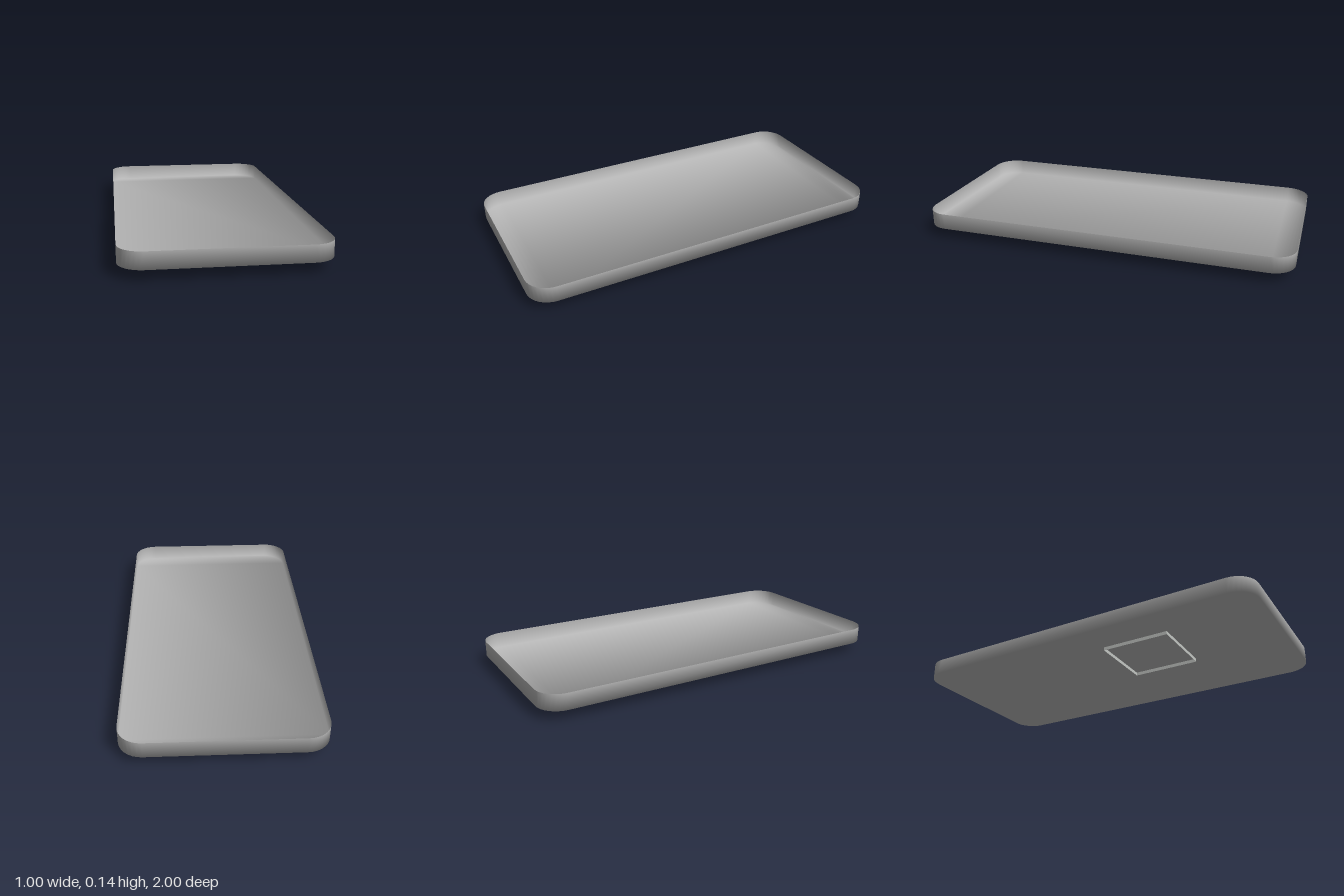
import * as THREE from 'three';

const trayGrey = new THREE.MeshStandardMaterial({ color: 0xb4b4b4, side: THREE.DoubleSide });
trayGrey.name = 'tray grey';
const frameGrey = new THREE.MeshStandardMaterial({ color: 0xc4c8c4, side: THREE.DoubleSide });
frameGrey.name = 'frame light grey';

// Thin open tray with rounded corners; normals are blended from floor to wall
function trayGeometry(halfW, halfL, radius, bottom, top, steps) {
  const half = []; // one side of the outline, back to front: x, z, outward direction
  for (const end of [-1, 1]) {
    for (let i = 0; i <= steps; i++) {
      const a = (Math.PI / 2) * (end < 0 ? 1 - i / steps : i / steps);
      const nx = Math.cos(a), nz = end * Math.sin(a);
      half.push([halfW - radius + radius * nx, end * (halfL - radius) + radius * nz, nx, nz]);
    }
  }
  const pos = [], nor = [], index = [];
  // Four vertices per row: bottom left, bottom right, top left, top right
  for (const [x, z, nx, nz] of half) {
    for (const y of [bottom, top]) {
      for (const s of [-1, 1]) {
        const n = new THREE.Vector3(s * nx, y === bottom ? -1 : 0, nz).normalize();
        pos.push(s * x, y, z);
        nor.push(n.x, n.y, n.z);
      }
    }
  }
  const quad = (a, b, c, d) => index.push(a, b, c, a, c, d);
  for (let i = 0; i < half.length - 1; i++) {
    const p = i * 4, q = p + 4;
    quad(p, p + 1, q + 1, q);         // floor
    quad(p + 1, p + 3, q + 3, q + 1); // right wall
    quad(p, q, q + 2, p + 2);         // left wall
  }
  const e = (half.length - 1) * 4;
  quad(e, e + 1, e + 3, e + 2); // front wall
  quad(1, 0, 2, 3);             // back wall
  const g = new THREE.BufferGeometry();
  g.setAttribute('position', new THREE.Float32BufferAttribute(pos, 3));
  g.setAttribute('normal', new THREE.Float32BufferAttribute(nor, 3));
  g.setIndex(index);
  return g;
}

export function createModel() {
  const model = new THREE.Group();
  model.name = 'tray with frame';

  const tray = new THREE.Mesh(trayGeometry(0.5, 1, 0.12, 0.055, 0.14, 8), trayGrey);
  tray.name = 'tray';
  model.add(tray);

  // Thin square frame below the tray, open above and below
  const size = 0.363, height = 0.018;
  const frame = new THREE.Group();
  frame.name = 'squareFrame';
  for (let i = 0; i < 4; i++) {
    const a = (i * Math.PI) / 2;
    const wall = new THREE.Mesh(new THREE.PlaneGeometry(size, height), frameGrey);
    wall.name = 'frameWall';
    wall.position.set(Math.sin(a) * size / 2, height / 2, Math.cos(a) * size / 2);
    wall.rotation.y = a;
    frame.add(wall);
  }
  frame.position.set(-0.19, 0, 0.327);
  model.add(frame);

  return model;
}
